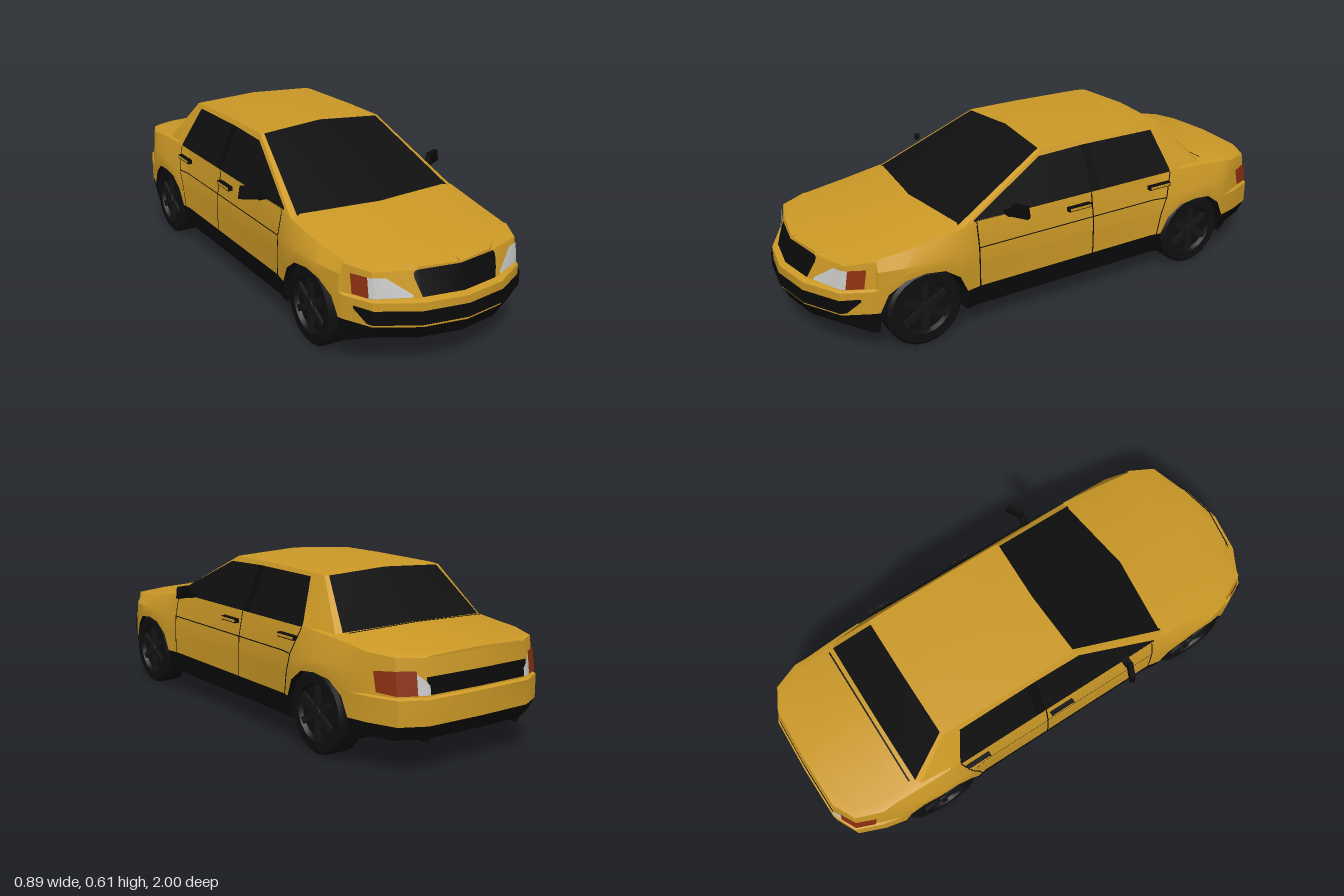
import * as THREE from 'three';
import { toCreasedNormals } from 'three/addons/utils/BufferGeometryUtils.js';

const mat = (name, color, side = THREE.FrontSide) => {
  const m = new THREE.MeshStandardMaterial({ color, side });
  m.name = name;
  return m;
};

// Piecewise linear lookup, keys ascending
const tab = (t, v) => {
  if (v <= t[0][0]) return t[0][1];
  for (let i = 1; i < t.length; i++) {
    const [a, p] = t[i - 1], [b, q] = t[i];
    if (v <= b) return p + (q - p) * (v - a) / (b - a);
  }
  return t[t.length - 1][1];
};

// Plan outline of the nose and tail (x -> z) and of the flanks (z -> x)
const NOSE = [[0, 0.995], [0.16, 0.968], [0.3, 0.89], [0.35, 0.79], [0.365, 0.76]];
const TAIL = [[0, -1], [0.22, -0.995], [0.31, -0.95], [0.35, -0.85], [0.37, -0.77]];
const FLANK = [[-0.85, 0.35], [-0.77, 0.368], [-0.6, 0.384], [-0.47, 0.38], [-0.4, 0.368], [0.38, 0.368],
  [0.44, 0.378], [0.53, 0.384], [0.68, 0.378], [0.77, 0.357], [0.79, 0.35]];
const ARCH = [[0, 0.288], [0.075, 0.278], [0.135, 0.235], [0.165, 0.17]];
const SHOULDER_Y = [[-1, 0.383], [-0.77, 0.4], [-0.66, 0.41], [-0.5, 0.42], [0.38, 0.42], [0.44, 0.405],
  [0.6, 0.38], [0.8, 0.358], [0.95, 0.348]];
const SHOULDER_X = [[-0.77, 0.338], [-0.6, 0.345], [-0.4, 0.347], [0.44, 0.349], [0.6, 0.345], [0.77, 0.332]];
const DECK_Y = [[-0.97, 0.388], [-0.6, 0.428], [0.45, 0.412], [0.95, 0.352]];

// Set-back of nose and tail above the bumpers, deepest at the grille
const inset = (x, y, s) => (s > 0
  ? tab([[0.16, 0.026], [0.3, 0.012]], x) + (y - 0.26) * tab([[0.16, 0.33], [0.3, 0.1]], x)
  : 0.012 + (y - 0.26) * 0.12);

// Columns run from the nose centre, along the left flank, to the tail centre
const sideZ = [0.77, 0.74, 0.68, 0.605, 0.53, 0.47, 0.44, 0.38, 0, -0.4, -0.44, -0.47, -0.53, -0.605, -0.68, -0.74, -0.77];
const columns = [
  ...NOSE.slice(0, 4),
  ...sideZ.map((z) => [tab(FLANK, z), z]),
  ...TAIL.slice(0, 4).reverse(),
];
const archLip = (z) => tab(ARCH, Math.abs(Math.abs(z) - 0.605));

// Surface through rows of points, mirrored to both sides of x = 0
function skin(rows, crease = 0.45) {
  const out = [];
  const tri = (a, b, c) => {
    out.push(...a, ...b, ...c);
    for (const p of [a, c, b]) out.push(-p[0], p[1], p[2]);
  };
  for (let i = 0; i < rows.length - 1; i++) {
    for (let j = 0; j < rows[i].length - 1; j++) {
      const a = rows[i][j], b = rows[i + 1][j], c = rows[i + 1][j + 1], d = rows[i][j + 1];
      tri(a, b, c);
      tri(a, c, d);
    }
  }
  const g = new THREE.BufferGeometry();
  g.setAttribute('position', new THREE.Float32BufferAttribute(out, 3));
  g.computeVertexNormals();
  return toCreasedNormals(g, crease);
}

// Body section at one column: bumper or arch lip, waist, shoulder
function flankSection([x, z]) {
  const end = Math.abs(z) > 0.78, s = Math.sign(z);
  const yb = archLip(z);
  const y1 = Math.max(0.255, yb + 0.012);
  const at = (y) => [x * (1 - inset(x, y, s)), y, z - s * inset(x, y, s)];
  const sy = tab(SHOULDER_Y, z);
  return end
    ? [[x, yb, z], [x, y1, z], at(0.261), at(0.325), at(sy)]
    : [[x, yb, z], [x, y1, z], [x, y1 + 0.006, z], [x - 0.003, 0.325, z], [tab(SHOULDER_X, z), sy, z]];
}

// Bonnet or boot lid section: shoulder, crease, centre
function deckSection(col) {
  const [sx, sy, z] = flankSection(col)[4];
  const cx = z > 0 ? Math.min(sx * 0.97, tab([[0.45, 0.31], [0.93, 0.18]], z)) : sx * 0.92;
  const y = tab(DECK_Y, z);
  return [[sx, sy, z], [cx, y, z], [0, y + 0.006, z]];
}

// Lower trim section: floor centre, lower edge, upper edge
function sillSection([x, z]) {
  const far = Math.abs(z) > 0.84, y = far ? 0.12 : 0.09;
  const zb = z - (far ? Math.sign(z) * 0.025 : 0);
  return [[0, y, zb], [x * 0.97, y, zb], [x, 0.171, z]];
}

export function createModel() {
  const car = new THREE.Group();
  const paint = mat('yellow paint', 0xcc9926);
  const glass = mat('dark glass', 0x0f0f0f);
  const trim = mat('black trim', 0x0a0a0a, THREE.DoubleSide);
  const tyre = mat('tyre rubber', 0x0f0f0f);
  const rimMat = mat('dark rim', 0x161616);
  const white = mat('clear lamp', 0xc6c6c4);
  const red = mat('red lamp', 0x8c3010);
  const add = (name, geo, m, parent = car) => {
    const mesh = new THREE.Mesh(geo, m);
    mesh.name = name;
    parent.add(mesh);
    return mesh;
  };
  const box = (name, w, h, d, x, y, z, m, parent) => {
    const b = add(name, new THREE.BoxGeometry(w, h, d), m, parent);
    b.position.set(x, y, z);
    return b;
  };

  // Lower body
  add('bodySides', skin(columns.map(flankSection)), paint);
  add('bonnet', skin(columns.filter((c) => c[1] > 0.43).map(deckSection)), paint);
  add('bootLid', skin(columns.filter((c) => c[1] < -0.5).map(deckSection)), paint);
  add('frontValance', skin(columns.filter((c) => c[1] > 0.76).map(sillSection)), trim);
  add('sills', skin(columns.filter((c) => Math.abs(c[1]) < 0.45).map(sillSection)), trim);
  add('rearValance', skin(columns.filter((c) => c[1] < -0.76).map(sillSection)), trim);
  box('underbody', 0.54, 0.2, 1.56, 0, 0.192, 0, trim);

  // Wheel arch liners and their end walls
  for (const s of [1, -1]) {
    const end = s > 0 ? 'front' : 'rear';
    const arch = columns.filter(([, z]) => s * z > 0.43 && s * z < 0.78);
    add(end + 'ArchLiners', skin(arch.map(([x, z]) => [[0.265, archLip(z), z], [x - 0.001, archLip(z), z]])), trim);
    for (const z of [0.77 * s, 0.44 * s]) {
      const x = tab(FLANK, z);
      add(end + 'ArchWalls', skin([[[0.265, 0.09, z], [0.265, 0.171, z]], [[x * 0.97, 0.09, z], [x, 0.171, z]]]), trim);
    }
  }

  // Cabin
  const aIn = [[0.325, 0.407, 0.45], [0.25, 0.598, 0.068]];
  const aOut = [[0.348, 0.4, 0.445], [0.262, 0.598, 0.06]];
  const cOut = [[0.33, 0.413, -0.655], [0.262, 0.588, -0.5]];
  const cIn = [[0.308, 0.422, -0.665], [0.246, 0.588, -0.505]];
  const cMid = [[0.345, 0.413, -0.52], [0.262, 0.592, -0.46]];
  const bMid = [[0.347, 0.413, 0], [0.262, 0.598, -0.15]];
  add('windscreen', skin([[[0, 0.412, 0.485], [0, 0.613, 0.055]], aIn]), glass);
  add('cabinSides', skin([aIn, aOut, bMid, cMid, cOut, cIn]), paint);
  add('rearWindow', skin([cIn, [[0, 0.426, -0.668], [0, 0.6, -0.507]]]), glass);
  add('roof', skin([
    [aIn[1], [0, 0.614, 0.055]], [aOut[1], [0, 0.614, 0.04]], [bMid[1], [0, 0.611, -0.15]],
    [cMid[1], [0, 0.603, -0.46]], [cOut[1], [0, 0.6, -0.506]], [cIn[1], [0, 0.6, -0.507]],
  ]), paint);
  const pane = (rows) => skin(rows.map(([z, ...ys]) => ys.map((y) => [0.353 - 0.452 * (y - 0.41), y, z])));
  add('frontSideWindows', pane([[0.395, 0.418, 0.424], [0.08, 0.418, 0.578], [-0.11, 0.418, 0.583]]), glass);
  add('doorPillars', pane([[-0.11, 0.418, 0.583], [-0.15, 0.418, 0.583]]), trim);
  add('rearSideWindows', pane([[-0.15, 0.418, 0.583], [-0.44, 0.418, 0.58], [-0.49, 0.418, 0.43]]), glass);

  // Nose and tail details laid on the outline; rows are [x, y low, y high]
  const decal = (outline, s, rows) => skin(rows.map(([x, ...ys]) => ys.map((y) => {
    const k = y < 0.26 ? 0 : inset(x, y, s);
    return [x > 0 ? x + 0.004 : 0, y, tab(outline, x / (1 - k)) - s * k + s * 0.006];
  })));
  add('grille', decal(NOSE, 1, [[0, 0.265, 0.35], [0.145, 0.265, 0.35], [0.155, 0.297, 0.348], [0.162, 0.325, 0.34]]), trim);
  add('bumperIntake', decal(NOSE, 1, [[0, 0.18, 0.23], [0.16, 0.18, 0.23], [0.3, 0.18, 0.23], [0.31, 0.181, 0.231], [0.333, 0.222, 0.232]]), trim);
  add('headlights', decal(NOSE, 1, [[0.174, 0.266, 0.274], [0.25, 0.266, 0.332], [0.29, 0.266, 0.335], [0.302, 0.266, 0.335]]), white);
  add('indicators', decal(NOSE, 1, [[0.302, 0.266, 0.335], [0.33, 0.267, 0.335]]), red);
  add('tailLamps', decal(TAIL, -1, [[0.333, 0.272, 0.338], [0.304, 0.267, 0.345], [0.245, 0.267, 0.345]]), red);
  add('reverseLamps', decal(TAIL, -1, [[0.245, 0.268, 0.335], [0.217, 0.268, 0.31], [0.205, 0.268, 0.296]]), white);
  add('tailPanel', decal(TAIL, -1, [[0.217, 0.31, 0.325], [0.205, 0.296, 0.325], [0.205, 0.268, 0.325], [0, 0.268, 0.325]]), trim);
  add('bootSeam', skin([[[0.3, 0.424, -0.683], [0, 0.43, -0.683]], [[0.3, 0.423, -0.689], [0, 0.429, -0.689]]]), trim);

  // Door seams
  const sideX = (y, z) => tab([[0.255, tab(FLANK, z)], [0.325, tab(FLANK, z) - 0.003], [0.42, 0.347]], y) + 0.0025;
  const levels = [0.172, 0.255, 0.325, 0.416];
  const seam = (name, zAt) => add(name, skin([0.0025, -0.0025].map((o) =>
    levels.map((y) => [sideX(y, zAt(y)), y, zAt(y) + o]))), trim);
  seam('frontDoorSeam', () => 0.385);
  seam('middleDoorSeam', () => -0.11);
  seam('rearDoorSeam', (y) => tab([[0.17, -0.42], [0.255, -0.435], [0.416, -0.49]], y));
  add('waistSeam', skin([0.385, 0, -0.4, -0.455].map((z) => [0.321, 0.325].map((y) => [sideX(y, z), y, z]))), trim);

  for (const s of [1, -1]) {
    const side = s > 0 ? 'left' : 'right';
    // Door handles: painted grip on a dark surround
    for (const z of [-0.045, -0.425]) {
      box(side + 'HandleSurround', 0.018, 0.016, 0.1, s * 0.366, 0.378, z, trim);
      box(side + 'HandleGrip', 0.004, 0.009, 0.09, s * 0.375, 0.378, z, paint);
    }

    // Wing mirror
    const mirror = new THREE.Group();
    mirror.name = side + 'Mirror';
    const shape = new THREE.Shape([[0, 0], [0.08, 0.005], [0.073, 0.05], [0.012, 0.047]].map(([x, y]) => new THREE.Vector2(s * x, y)));
    const shell = add('mirrorShell', new THREE.ExtrudeGeometry(shape, { depth: 0.02, bevelEnabled: false }), trim, mirror);
    shell.position.set(s * 0.365, 0.42, 0.25);
    shell.rotation.y = s * 0.45;
    box('mirrorArm', 0.04, 0.014, 0.03, s * 0.36, 0.426, 0.255, trim, mirror);
    car.add(mirror);

    // Exhaust pipe
    const pipe = add(side + 'Exhaust', new THREE.CylinderGeometry(0.012, 0.012, 0.08, 8), trim);
    pipe.position.set(s * 0.2, 0.117, -0.93);
    pipe.rotation.x = Math.PI / 2;

    // Wheels
    for (const z of [0.605, -0.6]) {
      const wheel = new THREE.Group();
      wheel.name = side + (z > 0 ? 'Front' : 'Rear') + 'Wheel';
      const profile = [[0, -0.05], [0.133, -0.05], [0.145, -0.04], [0.145, 0.04], [0.133, 0.05], [0.1, 0.05], [0.092, 0.035], [0, 0.035]];
      const lathe = new THREE.LatheGeometry(profile.map((p) => new THREE.Vector2(...p)), 20);
      add('tyre', toCreasedNormals(lathe, 0.5), tyre, wheel);
      add('hub', new THREE.CylinderGeometry(0.024, 0.028, 0.02, 12), rimMat, wheel).position.y = 0.04;
      for (let i = 0; i < 6; i++) {
        const a = i * Math.PI / 3;
        const spoke = box('spoke', 0.085, 0.012, 0.024, 0.052 * Math.cos(a), 0.04, 0.052 * Math.sin(a), rimMat, wheel);
        spoke.rotation.y = -a;
      }
      wheel.position.set(s * 0.322, 0.145, z);
      wheel.rotation.z = -s * Math.PI / 2;
      car.add(wheel);
    }
  }
  return car;
}
